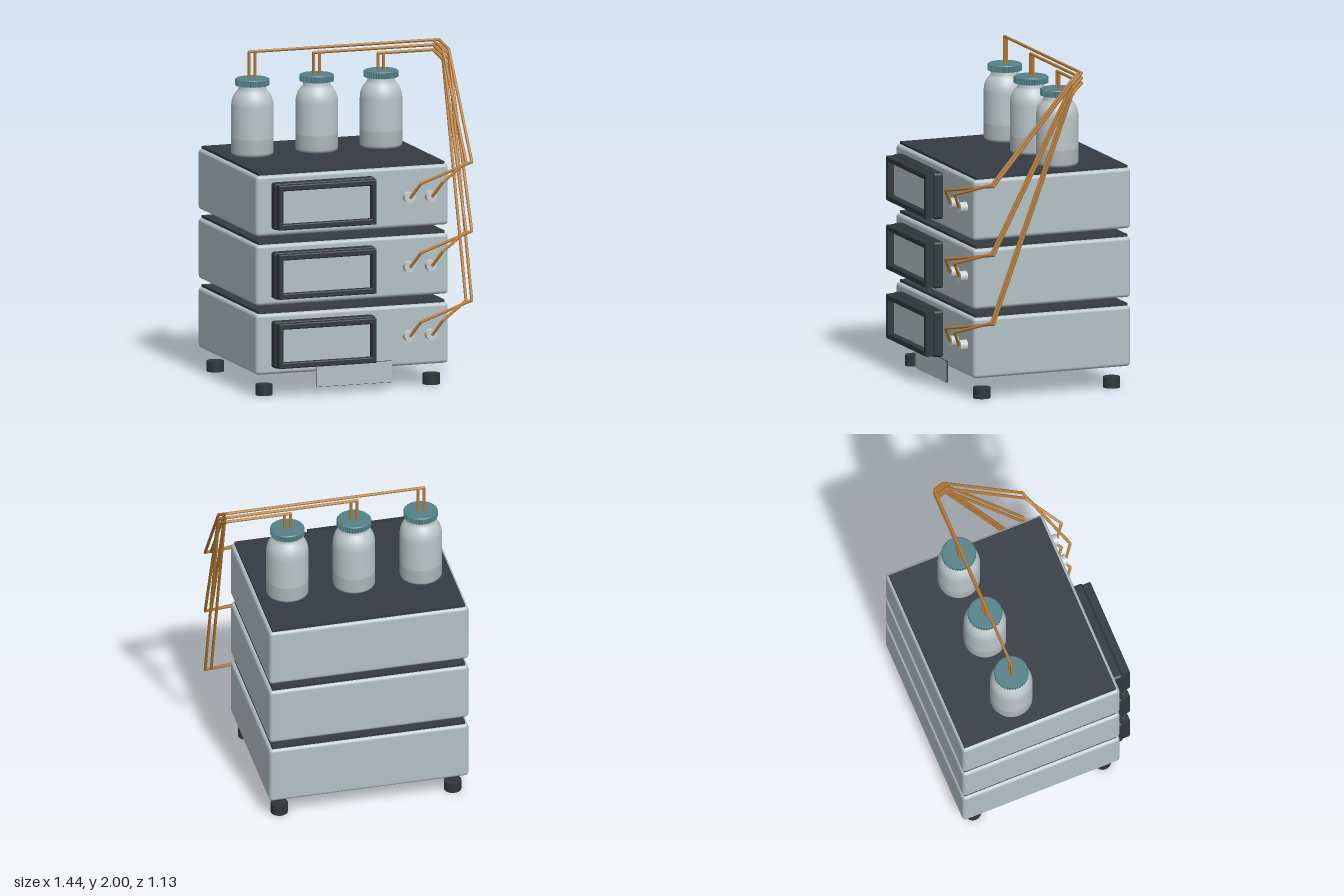
import * as THREE from 'three';
import { RoundedBoxGeometry } from 'three/addons/geometries/RoundedBoxGeometry.js';

const material = (name, color, side = THREE.FrontSide) => {
  const m = new THREE.MeshStandardMaterial({ color, side });
  m.name = name;
  return m;
};

const mats = {
  body: material('pale grey casing', 0xb2c0c5),
  dark: material('dark slate', 0x353a42),
  bezel: material('dark bezel', 0x2f373b),
  glass: material('bottle glass', 0xbac6c9, THREE.DoubleSide),
  liquid: material('filled glass', 0xacb7b9, THREE.DoubleSide),
  cap: material('teal cap', 0x55818a),
  copper: material('copper tubing', 0xb57b36),
  port: material('light port', 0xc8cecf),
};

function add(parent, name, geometry, mat, x = 0, y = 0, z = 0) {
  const mesh = new THREE.Mesh(geometry, mat);
  mesh.name = name;
  mesh.position.set(x, y, z);
  parent.add(mesh);
  return mesh;
}

function group(parent, name, x = 0, y = 0, z = 0) {
  const g = new THREE.Group();
  g.name = name;
  g.position.set(x, y, z);
  parent.add(g);
  return g;
}

function rectangle(Type, w, h) {
  const p = new Type();
  p.moveTo(-w / 2, -h / 2);
  p.lineTo(w / 2, -h / 2);
  p.lineTo(w / 2, h / 2);
  p.lineTo(-w / 2, h / 2);
  p.closePath();
  return p;
}

// Straight rods with ball joints, giving sharp bends
function bentTube(parent, name, points, radius) {
  const g = group(parent, name);
  const pts = points.map((p) => new THREE.Vector3(...p));
  const up = new THREE.Vector3(0, 1, 0);
  for (let i = 0; i < pts.length - 1; i++) {
    const dir = pts[i + 1].clone().sub(pts[i]);
    const rod = add(g, 'tubeRun', new THREE.CylinderGeometry(radius, radius, dir.length(), 10), mats.copper);
    rod.position.copy(pts[i]).addScaledVector(dir, 0.5);
    rod.quaternion.setFromUnitVectors(up, dir.normalize());
    if (i > 0) add(g, 'tubeBend', new THREE.SphereGeometry(radius, 10, 6), mats.copper, ...points[i]);
  }
}

// One stacked unit: casing, lid, window and two ports
function buildUnit(parent, y) {
  const unit = group(parent, 'stackedUnit', 0, y, 0);
  add(unit, 'casing', new RoundedBoxGeometry(1.23, 0.37, 1.02, 4, 0.022), mats.body, -0.107, 0.185, -0.058);
  add(unit, 'topPlate', new THREE.BoxGeometry(1.19, 0.02, 0.985), mats.dark, -0.107, 0.375, -0.06);

  const display = group(unit, 'display', -0.303, 0.186, 0);
  add(display, 'displayBase', new RoundedBoxGeometry(0.65, 0.286, 0.07, 3, 0.018), mats.bezel, 0, 0, 0.477);
  const outline = rectangle(THREE.Shape, 0.615, 0.262);
  outline.holes.push(rectangle(THREE.Path, 0.578, 0.214));
  const frame = new THREE.ExtrudeGeometry(outline, {
    depth: 0.042, bevelEnabled: true, bevelThickness: 0.005, bevelSize: 0.005, bevelSegments: 1,
  });
  add(display, 'displayFrame', frame, mats.bezel, 0, 0, 0.512);
  add(display, 'displayPanel', new THREE.BoxGeometry(0.57, 0.208, 0.008), mats.body, 0, 0, 0.515);
  add(display, 'displayButton', new THREE.BoxGeometry(0.012, 0.006, 0.004), mats.dark, -0.245, -0.119, 0.56);

  for (const x of [0.245, 0.385]) {
    const port = add(unit, 'port', new THREE.CylinderGeometry(0.033, 0.033, 0.05, 24), mats.port, x, 0.186, 0.473);
    port.rotation.x = Math.PI / 2;
  }
}

// Bottle with rounded shoulder and a ribbed cap
function buildBottle(parent, x) {
  const bottle = group(parent, 'bottle', x, 1.367, -0.173);
  const lathe = (pts) => new THREE.LatheGeometry(pts.map((p) => new THREE.Vector2(...p)), 40);
  add(bottle, 'bottleLower', lathe([[0, 0], [0.115, 0], [0.124, 0.006], [0.128, 0.018], [0.128, 0.105]]), mats.liquid);
  add(bottle, 'bottleUpper', lathe([
    [0.128, 0.105], [0.128, 0.295], [0.125, 0.325], [0.117, 0.352],
    [0.104, 0.375], [0.09, 0.39], [0.082, 0.402], [0.08, 0.43],
  ]), mats.glass);

  const ribs = 40;
  const rim = new THREE.Shape();
  for (let i = 0; i < ribs * 4; i++) {
    const a = (i / (ribs * 4)) * Math.PI * 2;
    const r = i % 4 < 2 ? 0.104 : 0.097;
    rim[i ? 'lineTo' : 'moveTo'](r * Math.cos(a), r * Math.sin(a));
  }
  rim.closePath();
  const cap = add(bottle, 'cap', new THREE.ExtrudeGeometry(rim, { depth: 0.036, bevelEnabled: false }), mats.cap, 0, 0.423, 0);
  cap.rotation.x = -Math.PI / 2;
  add(bottle, 'capTop', new THREE.CylinderGeometry(0.097, 0.101, 0.005, 40), mats.cap, 0, 0.461, 0);
}

export function createModel() {
  const model = new THREE.Group();
  model.name = 'stackedLabInstrument';
  const unitBases = [0.135, 0.557, 0.979];
  const bottleX = [0.305, -0.106, -0.518];

  unitBases.forEach((y) => buildUnit(model, y));
  bottleX.forEach((x) => buildBottle(model, x));

  // Feet
  for (const x of [-0.643, 0.427]) {
    for (const z of [0.368, -0.476]) {
      add(model, 'foot', new THREE.CylinderGeometry(0.052, 0.052, 0.065, 24), mats.bezel, x, 0.0325, z);
    }
  }

  // Hanging plate under the lowest display
  add(model, 'hangingPlate', new THREE.BoxGeometry(0.485, 0.132, 0.008), mats.dark, -0.105, 0.111, 0.471);
  add(model, 'hangingPlateFace', new THREE.BoxGeometry(0.481, 0.128, 0.002), mats.body, -0.105, 0.111, 0.476);

  // Paired tubes: each bottle feeds the two ports of one unit
  const z = -0.178;
  bottleX.forEach((bx, i) => {
    const base = unitBases[i];
    const top = 1.931 + i * 0.03;
    [[-0.018, 0.677, 0.245], [0.019, 0.64, 0.385]].forEach(([offset, corner, portX]) => {
      bentTube(model, 'copperTube', [
        [bx + offset, 1.8, z],
        [bx + offset, top, z],
        [corner, top, z],
        [corner + 0.036, top - 0.05, -0.105],
        [corner, base + 0.362, 0.393],
        [portX + 0.05, base + 0.279, 0.547],
        [portX, base + 0.186, 0.497],
      ], 0.009);
    });
  });

  return model;
}
